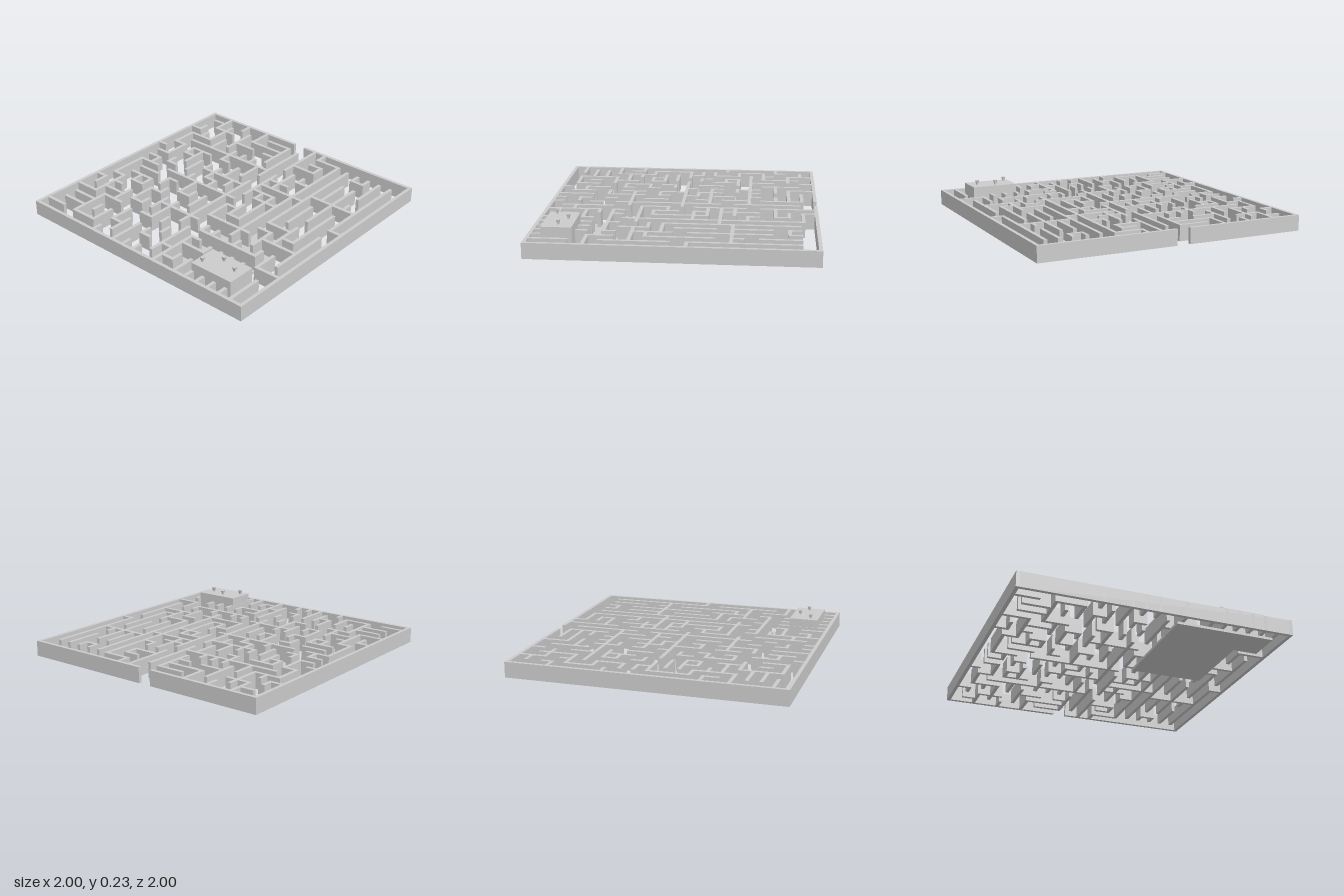
import * as THREE from 'three';

const N = 20, P = 0.0987, T = 0.026, Y0 = 0.022, H = 0.114;
const grey = new THREE.MeshStandardMaterial({ color: 0xcccccc, flatShading: true });

// Inner walls along x: for each grid row, the start and end columns
const rows = [
  [],
  [[5, 6], [7, 10], [14, 16], [17, 18]],
  [[4, 7], [10, 11], [12, 14], [18, 20]],
  [[1, 4], [7, 8], [11, 12], [13, 14], [16, 18]],
  [[2, 3], [4, 5], [7, 8], [12, 14], [15, 17], [19, 20]],
  [[5, 7], [8, 9], [11, 13], [16, 19]],
  [[2, 4], [5, 6], [14, 15], [18, 20]],
  [[1, 2], [5, 7], [8, 10], [11, 13]],
  [[0, 2], [4, 6], [10, 11], [12, 14]],
  [[4, 5], [7, 9], [11, 12], [13, 15], [16, 19]],
  [[3, 4], [5, 13], [14, 17]],
  [[1, 4], [7, 9], [11, 14], [16, 20]],
  [[0, 4], [8, 10], [11, 12], [13, 14], [19, 20]],
  [[1, 2], [8, 12], [17, 18]],
  [[6, 19]],
  [[9, 15]],
  [[6, 8], [10, 13], [14, 16]],
  [[7, 9], [11, 14]],
  [[16, 19]],
  [[5, 10], [11, 18]],
  [],
];
// Inner walls along z: for each grid column, the start and end rows
const columns = [
  [],
  [[0, 2], [3, 5], [12, 13]],
  [[1, 3], [6, 7], [9, 10], [11, 12]],
  [[1, 3], [12, 14]],
  [[0, 2], [3, 5], [7, 8], [12, 13], [18, 20]],
  [[2, 4], [5, 6], [12, 17]],
  [[0, 1], [2, 3], [7, 11]],
  [[1, 2], [3, 4], [5, 6], [11, 15], [16, 19]],
  [[2, 4], [7, 8], [12, 13], [15, 16], [17, 18]],
  [[2, 4], [5, 6], [11, 12], [15, 17]],
  [[1, 3], [4, 11]],
  [[1, 2], [3, 4], [7, 8], [12, 14], [19, 20]],
  [[1, 2], [6, 10], [11, 13]],
  [[0, 1], [3, 4], [11, 15]],
  [[1, 2], [3, 5], [6, 7], [11, 13], [15, 19]],
  [[2, 10], [13, 14]],
  [[1, 3]],
  [[0, 1], [5, 7], [8, 9], [11, 13]],
  [[2, 4], [6, 9], [12, 13], [16, 17]],
  [[1, 2], [7, 9], [12, 14]],
  [],
];

const covers = (spans, k) => spans.some(([a, b]) => k >= a && k <= b);

// Adds the outer frame with its gate, then lets every bare grid node grow a stub to a walled neighbour
function layOutWalls() {
  const across = rows.map((spans, j) => (j % N ? [...spans] : [[0, N]]));
  const along = columns.map((spans, i) => (i % N ? [...spans] : [[0, N]]));
  along[N] = [[0, 9], [10, N]];
  const walled = (i, j) => covers(across[j], i) || covers(along[i], j);
  for (let j = 1; j < N; j++) {
    for (let i = 1; i < N; i++) {
      if (walled(i, j)) continue;
      if (walled(i - 1, j)) across[j].push([i - 1, i]);
      else if (walled(i + 1, j)) across[j].push([i, i + 1]);
      else if (walled(i, j - 1)) along[i].push([j - 1, j]);
      else along[i].push([j, j + 1]);
    }
  }
  return { across, along };
}

export function createModel() {
  const model = new THREE.Group();
  const group = (name) => {
    const g = new THREE.Group();
    g.name = name;
    model.add(g);
    return g;
  };
  const add = (name, geometry, x, y, z, parent) => {
    const mesh = new THREE.Mesh(geometry, grey);
    mesh.name = name;
    mesh.position.set(x, y, z);
    parent.add(mesh);
    return mesh;
  };
  const box = (name, w, h, d, x, y, z, parent) => add(name, new THREE.BoxGeometry(w, h, d), x, y + h / 2, z, parent);

  // Maze walls: free ends stop short, ends that meet a crossing wall fill the corner
  const maze = group('maze');
  const build = (lines, crossing, alongX) => lines.forEach((spans, k) => spans.forEach(([a, b]) => {
    const lo = (a - N / 2) * P - T / 2;
    const hi = (b - N / 2) * P + (covers(crossing[b], k) ? T / 2 : -T / 2);
    const mid = (lo + hi) / 2, side = (k - N / 2) * P;
    if (alongX) box('wallAcross', hi - lo, H, T, mid, Y0, side, maze);
    else box('wallAlong', T, H, hi - lo, side, Y0, mid, maze);
  }));
  const { across, along } = layOutWalls();
  build(across, along, true);
  build(along, across, false);

  // L-shaped base plate under one corner
  const outline = [[-0.92, 0.155], [-0.1, 0.155], [-0.1, 0.7], [-0.68, 0.7], [-0.68, 0.88], [-0.92, 0.88]];
  const shape = new THREE.Shape(outline.map(([x, z]) => new THREE.Vector2(x, -z)));
  const plate = add('basePlate', new THREE.ExtrudeGeometry(shape, { depth: 0.018, bevelEnabled: false }), 0, 0, 0, model);
  plate.rotation.x = -Math.PI / 2;

  // Block building with a flat roof
  const building = group('building');
  box('buildingBody', 0.216, 0.18, 0.346, -0.797, 0.016, 0.658, building);

  // Flared roof vents
  for (const [x, z] of [[-0.845, 0.53], [-0.745, 0.635], [-0.792, 0.767]]) {
    box('ventStem', 0.014, 0.02, 0.014, x, 0.19, z, building);
    const cap = add('ventCap', new THREE.CylinderGeometry(0.018, 0.012, 0.022, 4), x, 0.218, z, building);
    cap.rotation.y = Math.PI / 4;
  }

  // Small windows on the back face
  for (let i = 0; i < 4; i++) box('window', 0.018, 0.018, 0.004, -0.872 + i * 0.05, 0.155, 0.484, building);

  // Staggered rows of studs on the plate behind and in front of the building
  const studs = group('studs');
  for (const [z0, count] of [[0.395, 5], [0.848, 2]]) {
    for (let r = 0; r < count; r++) {
      for (let c = 0; c < 8; c++) {
        box('stud', 0.007, 0.006, 0.007, -0.905 + c * 0.026 + (r % 2) * 0.012, 0.017, z0 + r * 0.02, studs);
      }
    }
  }
  return model;
}
